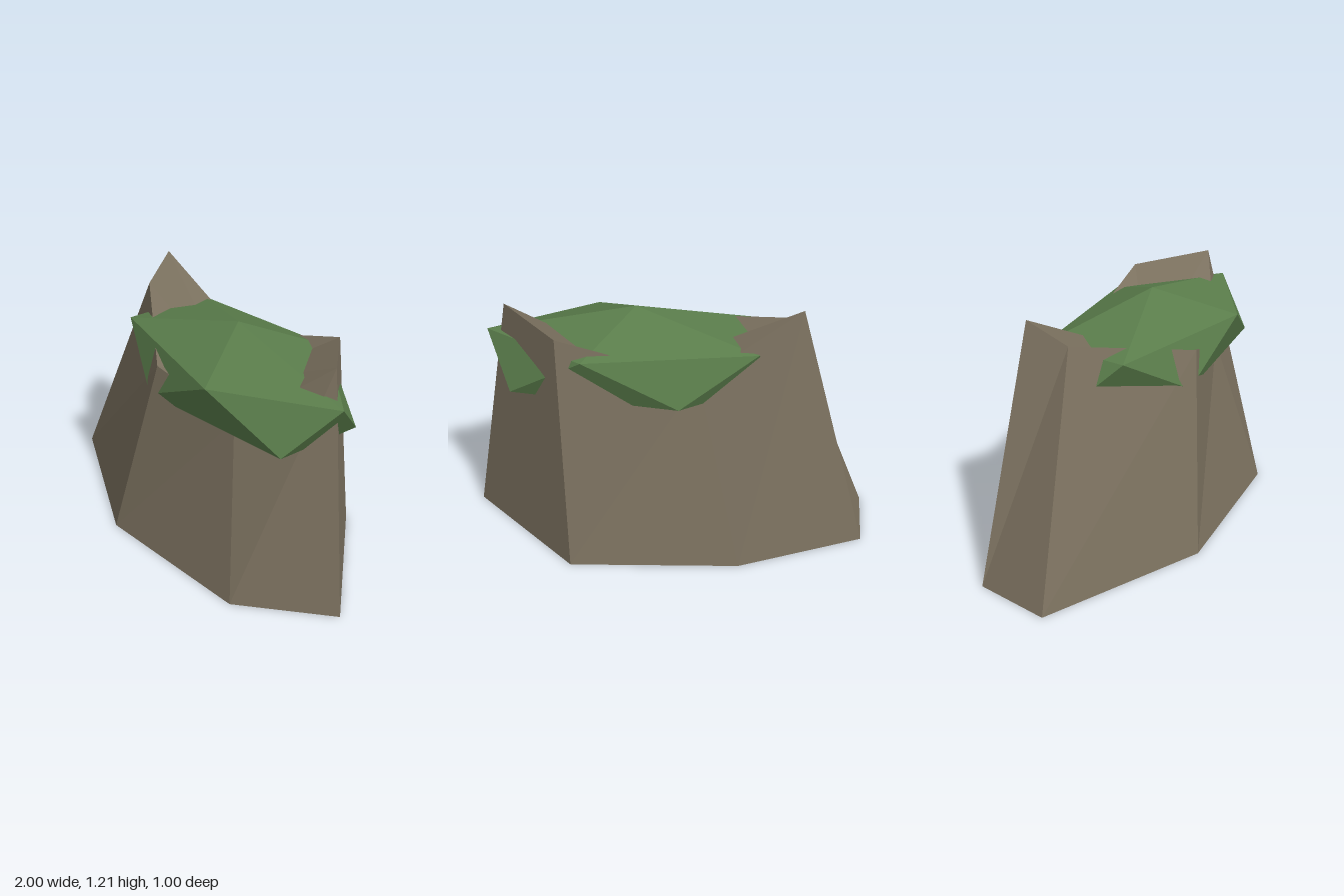
import * as THREE from 'three';
import { ConvexGeometry } from 'three/addons/geometries/ConvexGeometry.js';

// Seven-sided rock: foot [x, z] and matching crest [x, y, z], anticlockwise from the front left
const FOOT = [[-1, 0.17], [-0.2, 0.5], [0.63, 0.4], [1, 0.05], [0.45, -0.5], [-0.36, -0.46], [-0.97, -0.2]];
const CREST = [
  [-0.55, 1.1, 0.02], [0, 0.96, 0.345], [0.42, 0.82, 0.22], [0.78, 1.16, -0.04],
  [0.5, 1.11, -0.32], [-0.15, 0.9, -0.25], [-0.62, 1.21, -0.15],
];

function rockGeometry() {
  const foot = FOOT.map(([x, z]) => [x, 0, z]);
  const hollow = [0.12, 0.82, 0]; // sunken middle of the top
  const under = [0, 0, 0];
  const corners = [];
  for (let i = 0; i < foot.length; i++) {
    const j = (i + 1) % foot.length;
    corners.push(foot[i], foot[j], CREST[j]);
    corners.push(foot[i], CREST[j], CREST[i]);
    corners.push(CREST[i], CREST[j], hollow);
    corners.push(foot[j], foot[i], under);
  }
  const geometry = new THREE.BufferGeometry();
  geometry.setAttribute('position', new THREE.Float32BufferAttribute(corners.flat(), 3));
  geometry.computeVertexNormals();
  return geometry;
}

// Stretched icosahedron standing on a point: two staggered five-sided rings and two poles
function mossGeometry() {
  const points = [new THREE.Vector3(0, 0.25, 0), new THREE.Vector3(0, -0.25, 0)];
  for (let i = 0; i < 10; i++) {
    const a = (i * Math.PI) / 5;
    points.push(new THREE.Vector3(0.72 * Math.cos(a), i % 2 ? -0.112 : 0.112, 0.372 * Math.sin(a)));
  }
  return new ConvexGeometry(points);
}

export function createModel() {
  const stone = new THREE.MeshStandardMaterial({ color: 0x7a705e });
  stone.name = 'stone';
  const green = new THREE.MeshStandardMaterial({ color: 0x5a7d4b });
  green.name = 'mossGreen';

  const group = new THREE.Group();
  group.name = 'mossyRock';

  const rock = new THREE.Mesh(rockGeometry(), stone);
  rock.name = 'rock';

  const moss = new THREE.Mesh(mossGeometry(), green);
  moss.name = 'mossCap';
  moss.position.set(0.16, 0.9, 0);

  group.add(rock, moss);
  return group;
}
